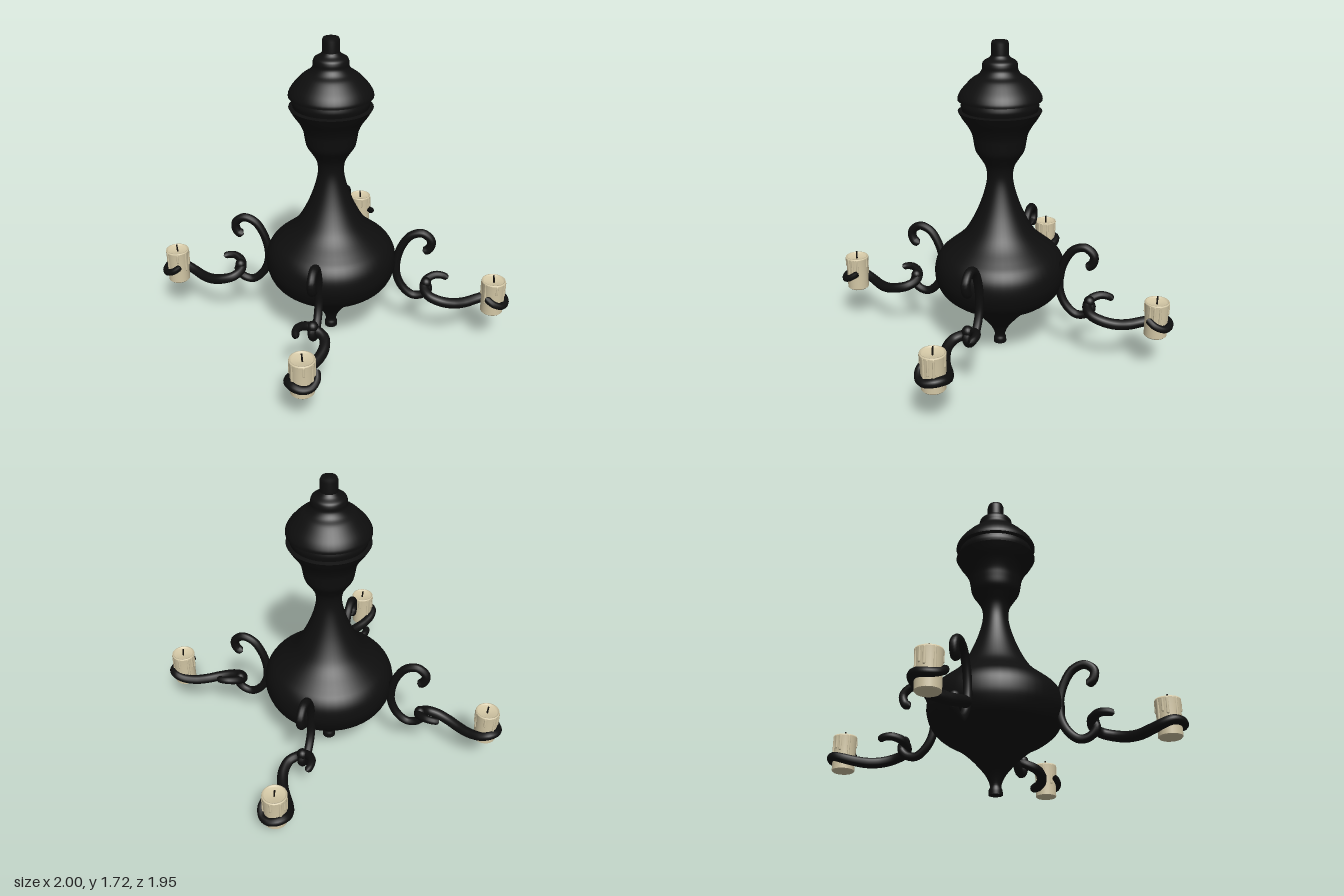
import * as THREE from 'three';

const iron = new THREE.MeshStandardMaterial({ color: 0x0e0e0e });
iron.name = 'blackIron';
const wax = new THREE.MeshStandardMaterial({ color: 0xd4c8a6 });
wax.name = 'creamWax';
const burnt = new THREE.MeshStandardMaterial({ color: 0x14110e });
burnt.name = 'burntWick';

const CENTER_Z = -0.008;

function mesh(name, geometry, material) {
  const m = new THREE.Mesh(geometry, material);
  m.name = name;
  return m;
}

// Turned part from [radius, height] points, optionally smoothed by a spline
function turned(name, points, smooth, material = iron, sides = 48) {
  let pts = points.map(([r, y]) => new THREE.Vector2(r, y));
  if (smooth) pts = new THREE.SplineCurve(pts).getPoints(points.length * 4);
  pts.forEach((p) => { p.x = Math.max(p.x, 0); });
  return mesh(name, new THREE.LatheGeometry(pts, sides), material);
}

// Wrought rod along a curve, with rounded ends and a radius given by a rule
function rod(name, points, radiusAt, steps = 72, sides = 12) {
  const curve = new THREE.CatmullRomCurve3(points, false, 'centripetal');
  const geo = new THREE.TubeGeometry(curve, steps, 1, sides, false);
  const pos = geo.attributes.position;
  const v = new THREE.Vector3();
  const length = curve.getLength();
  for (let i = 0; i <= steps; i++) {
    const t = i / steps;
    const c = curve.getPointAt(t);
    const r = radiusAt(t);
    const d = Math.min(1, (Math.min(t, 1 - t) * length) / r);
    const scale = r * Math.sqrt(Math.max(0, 1 - (1 - d) * (1 - d)));
    for (let j = 0; j <= sides; j++) {
      const k = i * (sides + 1) + j;
      v.fromBufferAttribute(pos, k).sub(c).multiplyScalar(scale).add(c);
      pos.setXYZ(k, v.x, v.y, v.z);
    }
  }
  return mesh(name, geo, iron);
}

function createBody() {
  const body = new THREE.Group();
  body.name = 'centralBody';
  body.add(
    turned('baseCap', [[0, 0], [0.036, 0]], false),
    turned('balusterStem', [
      [0.036, 0], [0.035, 0.025], [0.029, 0.05], [0.05, 0.1], [0.09, 0.15], [0.138, 0.2],
      [0.2, 0.25], [0.27, 0.29], [0.325, 0.34], [0.353, 0.4], [0.361, 0.45], [0.353, 0.51],
      [0.325, 0.56], [0.28, 0.6], [0.22, 0.65], [0.175, 0.705], [0.125, 0.8], [0.088, 0.9],
      [0.07, 0.985], [0.077, 1.05], [0.105, 1.1], [0.13, 1.14], [0.14, 1.19], [0.148, 1.23],
      [0.17, 1.275], [0.198, 1.315], [0.221, 1.355]], true),
    turned('crownLip', [[0.221, 1.355], [0.2, 1.36]], false),
    turned('crownBand', [[0.2, 1.36], [0.205, 1.385], [0.2, 1.41]], true),
    turned('domeUnderside', [[0.2, 1.41], [0.222, 1.415]], false),
    turned('crownDome', [
      [0.222, 1.415], [0.22, 1.432], [0.205, 1.46], [0.18, 1.49], [0.145, 1.525],
      [0.113, 1.545], [0.095, 1.57], [0.093, 1.595], [0.085, 1.615], [0.06, 1.63],
      [0.046, 1.645]], true),
    turned('topPin', [[0.046, 1.64], [0.046, 1.705], [0.04, 1.72], [0, 1.722]], false),
  );
  body.position.z = CENTER_Z;
  return body;
}

// Candle with a melted hollow, wax runs down its side and a wick
function createCandle() {
  const candle = new THREE.Group();
  candle.name = 'candle';
  candle.add(
    turned('candleBase', [[0, 0], [0.054, 0], [0.061, 0.007]], false, wax, 24),
    turned('candleSide', [[0.061, 0.007], [0.061, 0.08], [0.063, 0.15], [0.066, 0.192]], false, wax, 24),
    turned('candleRim', [[0.066, 0.192], [0.064, 0.198], [0.058, 0.198], [0.053, 0.188], [0, 0.183]], false, wax, 24),
  );
  for (let i = 0; i < 9; i++) {
    const a = (i / 9) * Math.PI * 2 + 0.3 * Math.sin(i * 5);
    const len = 0.045 + 0.035 * (1 + Math.sin(i * 2.4));
    const drip = mesh('waxDrip', new THREE.CapsuleGeometry(0.007, len, 3, 8), wax);
    drip.position.set(Math.cos(a) * 0.061, 0.186 - len / 2, Math.sin(a) * 0.061);
    candle.add(drip);
  }
  const wick = mesh('wick', new THREE.CylinderGeometry(0.004, 0.005, 0.046, 8), burnt);
  wick.position.y = 0.204;
  wick.rotation.z = 0.08;
  candle.add(wick);
  return candle;
}

// One arm; "at" maps distance outward, height and sideways offset to a point
function createArm(name, at) {
  const arm = new THREE.Group();
  arm.name = name;

  // C-shaped scroll hugging the body
  const scroll = [
    [0.487, 0.533], [0.522, 0.553], [0.532, 0.605], [0.483, 0.645], [0.42, 0.625],
    [0.372, 0.555], [0.346, 0.46], [0.35, 0.365], [0.387, 0.29], [0.443, 0.247],
    [0.497, 0.257], [0.53, 0.297], [0.515, 0.335]];
  arm.add(rod('scrollBracket', scroll.map(([u, y]) => at(u, y, 0)),
    (t) => 0.023 + 0.004 * Math.exp(-t * 12)));

  // S-shaped branch whose end winds round the candle
  const cu = 0.885, cw = 0.03;
  const branch = [
    [0.635, 0.34, -0.058], [0.605, 0.348, -0.07], [0.56, 0.35, -0.066], [0.515, 0.335, -0.03],
    [0.508, 0.31, 0.02], [0.54, 0.29, 0.066], [0.6, 0.272, 0.078], [0.67, 0.255, 0.062],
    [0.735, 0.248, 0.028], [0.8, 0.255, -0.012]];
  const rise = [0.272, 0.285, 0.285, 0.278, 0.28, 0.3, 0.33];
  rise.forEach((y, i) => {
    const a = -0.25 + i * 0.66;
    branch.push([cu + Math.sin(a) * 0.07, y, cw - Math.cos(a) * 0.07]);
  });
  arm.add(rod('candleBranch', branch.map((p) => at(...p)),
    (t) => 0.019 + 0.01 * Math.sin(Math.PI * Math.min(1, t * 1.1)), 110));

  // Small bud where scroll and branch meet
  const bud = mesh('jointBud', new THREE.SphereGeometry(0.03, 16, 12), iron);
  bud.position.copy(at(0.515, 0.335, 0));
  arm.add(bud);

  const candle = createCandle();
  candle.position.copy(at(cu, 0.212, cw - 0.003));
  arm.add(candle);
  return arm;
}

export function createModel() {
  const model = new THREE.Group();
  model.name = 'chandelier';
  model.add(createBody());
  for (const s of [1, -1]) {
    model.add(createArm(s > 0 ? 'frontArm' : 'backArm',
      (u, y, w) => new THREE.Vector3(w, y, s * u + CENTER_Z)));
    model.add(createArm(s > 0 ? 'leftArm' : 'rightArm',
      (u, y, w) => new THREE.Vector3(s * (u + 0.022), y, w - 0.026)));
  }
  return model;
}
